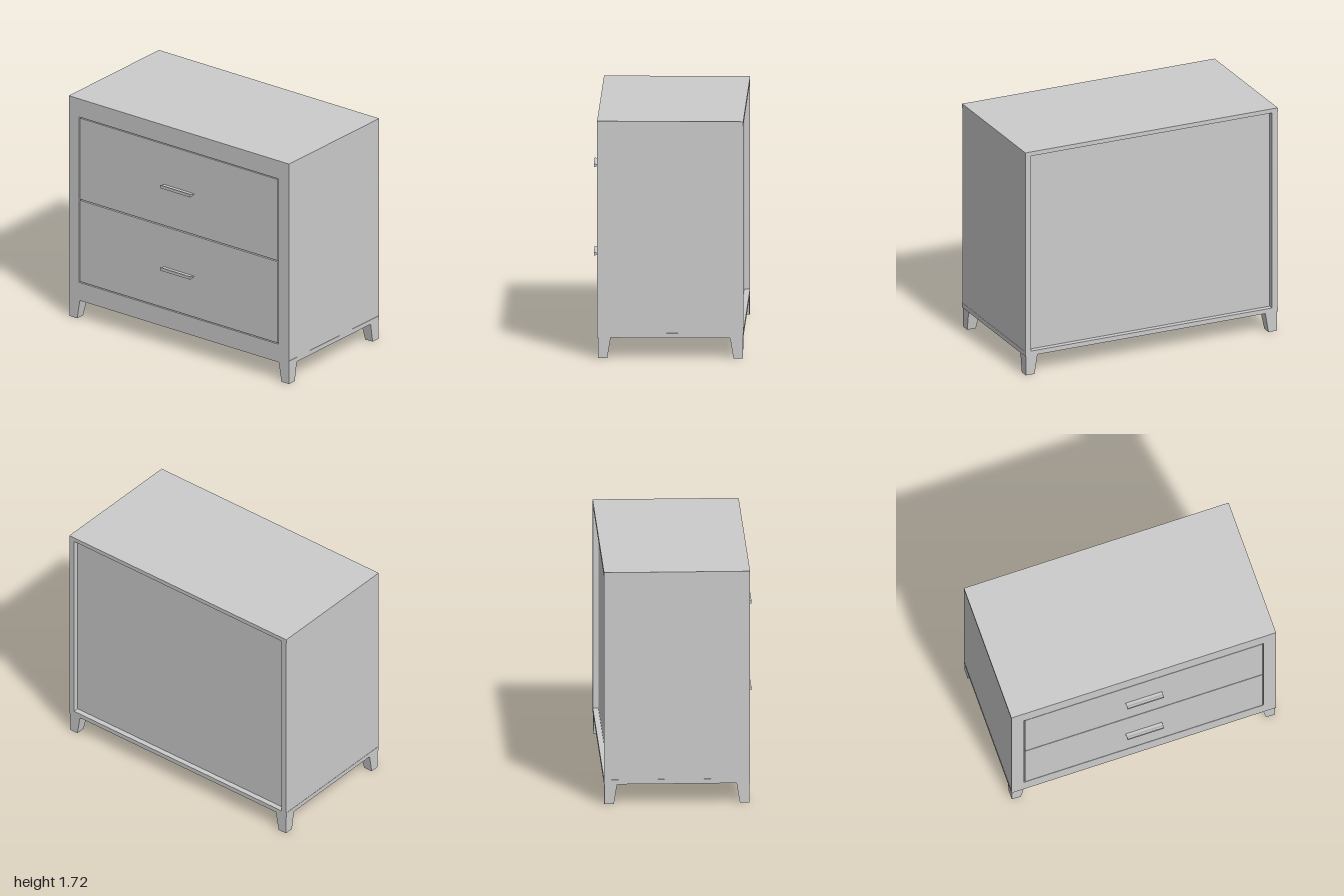
import * as THREE from 'three';

const material = new THREE.MeshStandardMaterial({ color: 0xcccccc, flatShading: true });

const FRONT = 0.5, BACK = -0.545;

// Box given by its limits on each axis
function slab(name, [x0, x1], [y0, y1], [z0, z1]) {
  const mesh = new THREE.Mesh(new THREE.BoxGeometry(x1 - x0, y1 - y0, z1 - z0), material);
  mesh.position.set((x0 + x1) / 2, (y0 + y1) / 2, (z0 + z1) / 2);
  mesh.name = name;
  return mesh;
}

// Leg with upright outer faces, its two inner faces tapering towards the foot
function leg(name, sx, sz) {
  const top = 0.092, foot = 0.068, height = 0.148;
  const geometry = new THREE.BoxGeometry(1, height, 1);
  const p = geometry.attributes.position;
  for (let i = 0; i < p.count; i++) {
    const size = p.getY(i) > 0 ? top : foot;
    const inX = p.getX(i) * sx < 0, inZ = p.getZ(i) * sz < 0;
    p.setX(i, sx * (0.995 - (inX ? size : 0)));
    p.setZ(i, (sz > 0 ? 0.495 : BACK + 0.002) - (inZ ? sz * size : 0));
  }
  geometry.computeVertexNormals();
  const mesh = new THREE.Mesh(geometry, material);
  mesh.position.y = height / 2;
  mesh.name = name;
  return mesh;
}

// Pull: thin tongue that flares to a thicker lip, extruded sideways
function handle(y) {
  const profile = [[0, -0.003], [0.02, -0.003], [0.036, -0.011], [0.045, -0.011],
    [0.045, 0.011], [0.036, 0.011], [0.02, 0.003], [0, 0.003]];
  const shape = new THREE.Shape(profile.map(([z, h]) => new THREE.Vector2(z, h)));
  const geometry = new THREE.ExtrudeGeometry(shape, { depth: 0.274, bevelEnabled: false });
  geometry.translate(0, 0, -0.137);
  geometry.rotateY(-Math.PI / 2);
  const mesh = new THREE.Mesh(geometry, material);
  mesh.position.set(0, y, FRONT);
  mesh.name = 'handle';
  return mesh;
}

export function createModel() {
  const group = new THREE.Group();
  group.name = 'drawerChest';

  // Carcass
  const depth = [BACK, FRONT];
  group.add(slab('topPanel', [-1, 1], [1.683, 1.715], depth));
  group.add(slab('bottomPanel', [-1, 1], [0.147, 0.181], depth));
  group.add(slab('backPanel', [-0.955, 0.955], [0.181, 1.683], [-0.505, -0.485]));

  // Sides, front stiles and legs
  for (const s of [-1, 1]) {
    const side = s > 0 ? 'left' : 'right';
    const span = (a, b) => (s > 0 ? [a, b] : [-b, -a]);
    group.add(slab(side + 'SidePanel', span(0.955, 0.998), [0.181, 1.683], [BACK, 0.465]));
    group.add(slab(side + 'Stile', span(0.905, 0.998), [0.181, 1.683], [0.465, FRONT]));
    group.add(leg(side + 'FrontLeg', s, 1));
    group.add(leg(side + 'BackLeg', s, -1));
  }

  // Front rails
  group.add(slab('topRail', [-0.905, 0.905], [1.574, 1.683], [0.465, FRONT]));
  group.add(slab('bottomRail', [-0.905, 0.905], [0.181, 0.287], [0.465, FRONT]));
  group.add(slab('middleRail', [-0.955, 0.955], [0.91, 0.95], [0.43, 0.46]));

  // Drawers: front, open box behind it and pull
  for (const [y0, y1, handleY, name] of [[0.295, 0.927, 0.611, 'lowerDrawer'], [0.936, 1.567, 1.252, 'upperDrawer']]) {
    const drawer = new THREE.Group();
    drawer.name = name;
    const box = [y0 + 0.03, y1 - 0.08];
    drawer.add(slab('drawerFront', [-0.897, 0.897], [y0, y1], [0.465, FRONT]));
    drawer.add(slab('drawerFloor', [-0.87, 0.87], [y0 + 0.03, y0 + 0.045], [-0.44, 0.465]));
    drawer.add(slab('drawerBack', [-0.87, 0.87], box, [-0.46, -0.44]));
    for (const s of [-1, 1]) drawer.add(slab('drawerSide', [s * 0.88 - 0.01, s * 0.88 + 0.01], box, [-0.46, 0.465]));
    drawer.add(handle(handleY));
    group.add(drawer);
  }
  return group;
}
